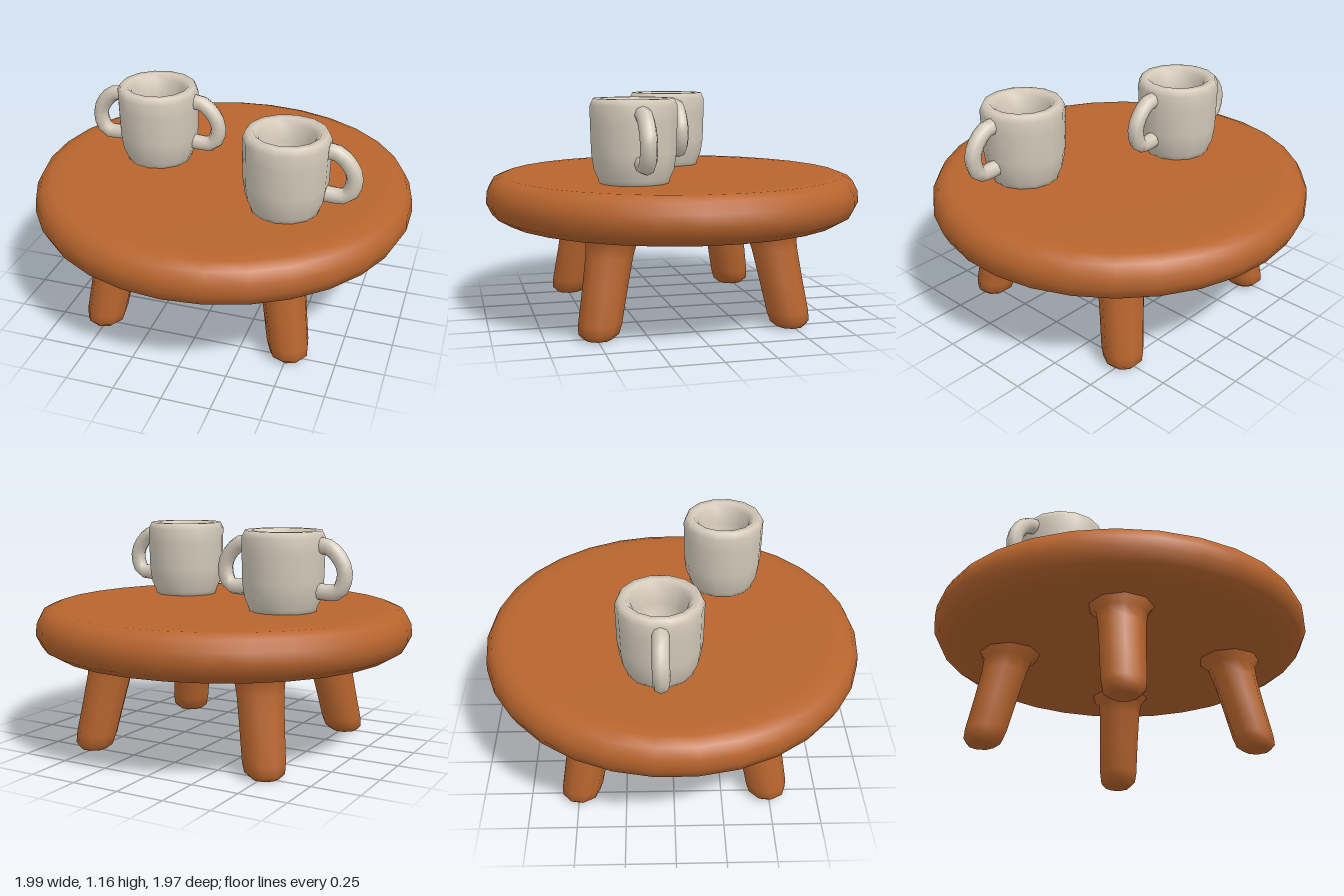
import * as THREE from 'three';
import { mergeVertices } from 'three/addons/utils/BufferGeometryUtils.js';

// Smooth surface of revolution; an optional rule moves each vertex
function turned(profile, sides, rule) {
  let g = new THREE.LatheGeometry(profile.map(([r, y]) => new THREE.Vector2(r, y)), sides);
  g.deleteAttribute('uv');
  g.deleteAttribute('normal');
  g = mergeVertices(g, 1e-4);
  if (rule) {
    const p = g.attributes.position, v = new THREE.Vector3();
    for (let i = 0; i < p.count; i++) {
      rule(v.fromBufferAttribute(p, i));
      p.setXYZ(i, v.x, v.y, v.z);
    }
  }
  g.computeVertexNormals();
  return g;
}

export function createModel() {
  const wood = new THREE.MeshStandardMaterial({ color: 0xb8652e });
  wood.name = 'wood';
  const clay = new THREE.MeshStandardMaterial({ color: 0xd3c9b9 });
  clay.name = 'clay';

  const model = new THREE.Group();
  model.name = 'tableWithMugs';
  const add = (parent, name, geometry, material) => {
    const mesh = new THREE.Mesh(geometry, material);
    mesh.name = name;
    parent.add(mesh);
    return mesh;
  };

  // Thick round top with a soft edge
  const topProfile = [[0, 0.51], [0.84, 0.51], [0.91, 0.515], [0.97, 0.55], [1, 0.61],
    [0.995, 0.67], [0.965, 0.725], [0.91, 0.747], [0.84, 0.75], [0, 0.75]];
  add(model, 'tableTop', turned(topProfile, 30), wood).scale.z = 0.985;

  // Four splayed legs, slanted by shearing so the feet stay flat
  const legProfile = [[0, 0], [0.07, 0.003], [0.1, 0.03], [0.108, 0.08], [0.112, 0.25],
    [0.118, 0.4], [0.128, 0.47], [0.165, 0.515], [0.165, 0.56], [0, 0.56]];
  for (const sx of [-1, 1]) for (const sz of [-1, 1]) {
    const slant = (v) => {
      v.x += sx * (0.51 - 0.16 * v.y);
      v.z += sz * (0.495 - 0.18 * v.y);
    };
    const name = (sz > 0 ? 'front' : 'back') + (sx > 0 ? 'Left' : 'Right') + 'Leg';
    add(model, name, turned(legProfile, 9, slant), wood);
  }

  // Chunky mugs with a thick rim and a tapering hollow
  const cupProfile = [[0, 0.74], [0.172, 0.74], [0.178, 0.77], [0.2, 0.82], [0.211, 0.9],
    [0.215, 1.05], [0.216, 1.125], [0.2, 1.158], [0.165, 1.158], [0.14, 1.13],
    [0.12, 1.05], [0.1, 0.9], [0, 0.88]];
  const cup = turned(cupProfile, 14);
  const handlePath = new THREE.CatmullRomCurve3(
    [[0.17, 1.09], [0.26, 1.075], [0.335, 0.97], [0.305, 0.865], [0.17, 0.86]]
      .map(([x, y]) => new THREE.Vector3(x, y, 0)));
  const handle = new THREE.TubeGeometry(handlePath, 12, 0.042, 8);

  const addMug = (name, x, z, turns) => {
    const mug = new THREE.Group();
    mug.name = name;
    mug.position.set(x, 0, z);
    add(mug, 'cup', cup, clay);
    turns.forEach((a, i) => {
      add(mug, 'handle' + (i + 1), handle, clay).rotation.y = a;
    });
    model.add(mug);
  };
  addMug('twoHandledMug', -0.385, -0.065, [0, Math.PI]);
  addMug('oneHandledMug', 0.41, 0.29, [0]);

  return model;
}
